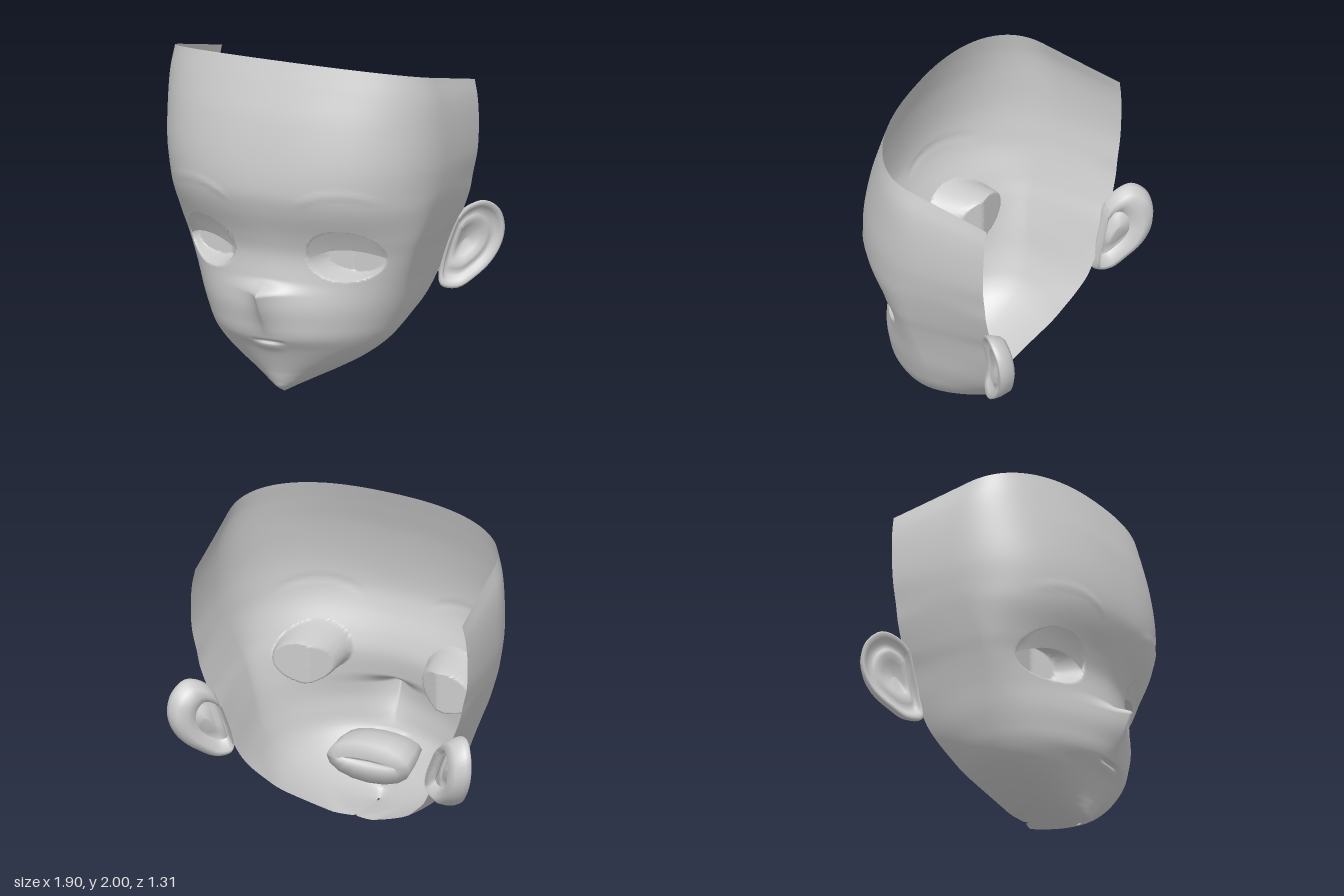
import * as THREE from 'three';

const { smoothstep, clamp, lerp } = THREE.MathUtils;
const material = new THREE.MeshStandardMaterial({ color: 0xcccccc, side: THREE.DoubleSide });

// Head sections: height, front z, half width, z of widest point, back edge x, back edge z, roundness
const sections = [
  [0, 0.29, 0.005, 0.28, 0, 0.26, 2],
  [0.03, 0.34, 0.06, 0.24, 0, 0.15, 2],
  [0.06, 0.355, 0.12, 0.2, 0, 0.04, 2],
  [0.09, 0.367, 0.18, 0.16, 0, -0.075, 1.9],
  [0.105, 0.372, 0.21, 0.145, 0.1, -0.112, 1.9],
  [0.13, 0.38, 0.26, 0.12, 0.165, -0.133, 1.9],
  [0.2, 0.41, 0.385, 0.08, 0.29, -0.19, 1.9],
  [0.28, 0.45, 0.49, 0.05, 0.4, -0.255, 1.9],
  [0.36, 0.5, 0.555, 0.02, 0.47, -0.305, 1.9],
  [0.45, 0.515, 0.6, 0.01, 0.54, -0.355, 1.88],
  [0.55, 0.52, 0.64, 0.01, 0.59, -0.4, 1.85],
  [0.7, 0.495, 0.685, 0.04, 0.65, -0.43, 1.78],
  [0.85, 0.48, 0.735, 0.06, 0.7, -0.45, 1.75],
  [0.96, 0.505, 0.775, 0.05, 0.75, -0.46, 1.85],
  [1.13, 0.57, 0.825, 0, 0.81, -0.465, 2.1],
  [1.24, 0.595, 0.85, -0.05, 0.83, -0.466, 2.2],
  [1.42, 0.583, 0.875, -0.08, 0.86, -0.47, 2.3],
  [1.66, 0.535, 0.88, -0.07, 0.865, -0.475, 2.3],
  [1.85, 0.474, 0.865, -0.03, 0.855, -0.478, 2.3],
  [2, 0.42, 0.83, 0, 0.835, -0.48, 2.35],
];

// Smooth interpolation between the head sections
function sectionAt(y) {
  let i = 0;
  while (i < sections.length - 2 && sections[i + 1][0] < y) i++;
  const at = (k) => sections[clamp(k, 0, sections.length - 1)];
  const [a, b, c, d] = [at(i - 1), at(i), at(i + 1), at(i + 2)];
  const h = c[0] - b[0], t = clamp((y - b[0]) / h, 0, 1);
  return b.map((p, k) => {
    const m0 = ((c[k] - a[k]) / (c[0] - a[0])) * h;
    const m1 = ((d[k] - b[k]) / (d[0] - b[0])) * h;
    const t2 = t * t, t3 = t2 * t;
    return (2 * t3 - 3 * t2 + 1) * p + (t3 - 2 * t2 + t) * m0
      + (3 * t2 - 2 * t3) * c[k] + (t3 - t2) * m1;
  });
}

// Depth of the plain face surface at x, y
function faceZ(x, y) {
  const [, zf, w, zw, , , n] = sectionAt(y);
  return zw + (zf - zw) * Math.pow(Math.max(0, 1 - Math.pow(Math.abs(x) / w, n)), 1 / n);
}

// Mesh from a grid of points, point(i, j) => [x, y, z]
function gridMesh(name, rows, cols, point) {
  const positions = [], index = [];
  for (let i = 0; i <= rows; i++) {
    for (let j = 0; j <= cols; j++) {
      positions.push(...point(i, j));
      if (i < rows && j < cols) {
        const a = i * (cols + 1) + j, b = a + cols + 1;
        index.push(a, a + 1, b, b, a + 1, b + 1);
      }
    }
  }
  const geometry = new THREE.BufferGeometry();
  geometry.setAttribute('position', new THREE.Float32BufferAttribute(positions, 3));
  geometry.setIndex(index);
  geometry.computeVertexNormals();
  const mesh = new THREE.Mesh(geometry, material);
  mesh.name = name;
  return mesh;
}

const eye = { x: 0.445, y: 0.86, rx: 0.2, up: 0.16, down: 0.14 };

// Nose, mouth line and brow ridges as depth offsets
function relief(x, y) {
  const ax = Math.abs(x);
  const noseRise = y > 0.63 ? 1 - smoothstep(y, 0.625, 0.71) : Math.max(0, 1 - (0.63 - y) / 0.26) ** 1.3;
  let d = 0.13 * noseRise * Math.exp(-ax / 0.085);
  const mouthFade = 1 - smoothstep(ax, 0.01, 0.13);
  d -= 0.025 * mouthFade * Math.exp(-(((y - 0.335) / 0.008) ** 2));
  d += 0.008 * mouthFade * Math.exp(-(((y - 0.3) / 0.022) ** 2));
  const browY = 1.265 - 1.1 * (ax - 0.48) ** 2;
  const browFade = smoothstep(ax, 0.18, 0.3) * (1 - smoothstep(ax, 0.6, 0.72));
  return d + 0.006 * browFade * Math.exp(-(((y - browY) / 0.018) ** 2));
}

// Eye sockets: sink the surface to a flat floor that rises toward the nose
function sinkSocket(x, y, z) {
  const ax = Math.abs(x);
  const q = Math.hypot((ax - eye.x) / eye.rx, (y - eye.y) / (y > eye.y ? eye.up : eye.down));
  const floor = Math.min(z, 0.185 + 0.75 * Math.max(0, 0.4 - ax));
  return lerp(z, floor, 1 - smoothstep(q, 0.88, 1.02));
}

function makeFace() {
  const lower = 130, upper = 40, half = 90, side = 15;
  return gridMesh('faceShell', lower + upper, half * 2, (i, j) => {
    const y = i <= lower ? (1.1 * i) / lower : 1.1 + (0.9 * (i - lower)) / upper;
    const [, zf, w, zw, xb, zb, n] = sectionAt(y);
    const s = half - Math.abs(j - half), sign = j < half ? -1 : 1;
    let x, z;
    if (s < side) {
      const t = s / side;
      x = lerp(Math.max(0, xb), w, 1 - (1 - t) ** 2);
      z = lerp(zb, zw, t);
    } else {
      const a = ((s - side) / (half - side)) * Math.PI / 2;
      x = w * Math.pow(Math.max(0, Math.cos(a)), 2 / n);
      z = zw + (zf - zw) * Math.pow(Math.sin(a), 2 / n);
      z = sinkSocket(x, y, z + relief(x, y));
    }
    // The top rim slopes down toward the back
    const slope = 0.233 * clamp(y - 1, 0, 1) ** 2;
    return [sign * x, y - slope * (zf - z), z];
  });
}

// Upper lid: a thin band bridging the top of the socket
function makeEyelid(sign) {
  return gridMesh('upperEyelid', 5, 24, (i, j) => {
    const u = j / 12 - 1, x = eye.x + eye.rx * u;
    const top = eye.y + 0.17 * Math.sqrt(1 - (u / 1.04) ** 2);
    const y = lerp(top, 0.91 - 0.06 * u * u, i / 5);
    return [sign * x, y, faceZ(x, y) + 0.003 - 0.012 * (i / 5)];
  });
}

// Hollow behind the lips: half width, half height, z
function makeMouthBag() {
  const rings = [[0.12, 0.012, 0.45], [0.23, 0.08, 0.38], [0.25, 0.12, 0.27], [0.26, 0.13, 0.12],
    [0.19, 0.035, 0.1], [0.17, 0.02, 0.13], [0, 0, 0.14]];
  return gridMesh('mouthBag', rings.length - 1, 16, (i, j) => {
    const [w, h, z] = rings[i], a = (j / 16) * Math.PI * 2;
    return [w * Math.cos(a), 0.33 + h * Math.sin(a), z];
  });
}

// Ear: rim curve, lofted back to its open root and inward to a hollow bowl
function makeEar(sign) {
  const rim = new THREE.CatmullRomCurve3([
    [0.76, 0.97, -0.42], [0.82, 1.04, -0.47], [0.885, 1.06, -0.53], [0.935, 1.0, -0.6],
    [0.95, 0.9, -0.632], [0.935, 0.8, -0.628], [0.89, 0.69, -0.585], [0.82, 0.6, -0.51],
    [0.74, 0.54, -0.44], [0.66, 0.56, -0.385], [0.66, 0.68, -0.4], [0.71, 0.85, -0.41],
  ].map((p) => new THREE.Vector3(...p)), true);
  const bowl = new THREE.Vector3(0.79, 0.82, -0.48), root = new THREE.Vector3(0.7, 0.79, -0.44);
  // Each ring: centre, scale of the rim, push along the facing direction
  const rings = [[root, 0.5, -0.04], [root, 0.72, -0.1], [bowl, 0.88, -0.085], [bowl, 0.98, -0.03],
    [bowl, 1, 0], [bowl, 0.94, 0.01], [bowl, 0.85, -0.005], [bowl, 0.76, -0.035],
    [bowl, 0.62, -0.03], [bowl, 0.5, -0.015], [bowl, 0.36, -0.045], [bowl, 0, -0.055]];
  return gridMesh('ear', rings.length - 1, 48, (i, j) => {
    const [centre, scale, push] = rings[i];
    const p = rim.getPoint((j % 48) / 48).sub(centre).multiplyScalar(scale).add(centre);
    return [sign * (p.x + 0.7 * push), p.y, p.z + 0.7 * push];
  });
}

export function createModel() {
  const head = new THREE.Group();
  head.name = 'head';
  head.add(makeFace(), makeMouthBag());
  for (const sign of [1, -1]) {
    const parts = [makeEyelid(sign), makeEar(sign)];
    for (const part of parts) part.name = (sign > 0 ? 'left ' : 'right ') + part.name;
    head.add(...parts);
  }
  return head;
}
